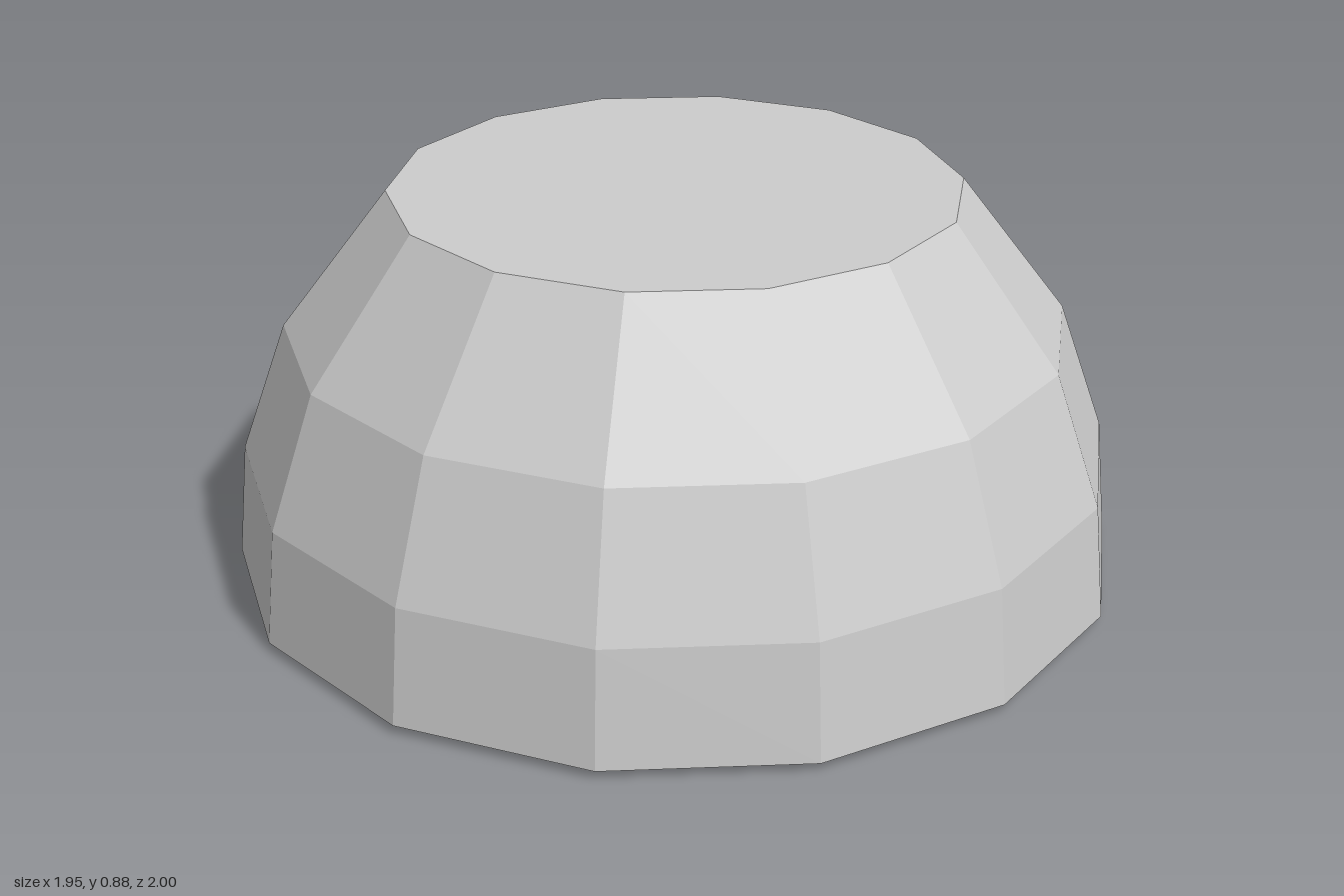
import * as THREE from 'three';

const SIDES = 14;

// Faceted dome, open below and capped flat on top
function dome(name, profile, material) {
  const points = profile.map(([r, y]) => new THREE.Vector2(r, y));
  const mesh = new THREE.Mesh(new THREE.LatheGeometry(points, SIDES), material);
  mesh.name = name;
  return mesh;
}

export function createModel() {
  const group = new THREE.Group();
  group.name = 'upturnedBowl';
  const grey = new THREE.MeshStandardMaterial({ color: 0xcccccc, flatShading: true, side: THREE.DoubleSide });
  grey.name = 'light grey';

  // Outer shell
  group.add(dome('outerShell', [[1, 0.02], [0.975, 0.28], [0.87, 0.575], [0.632, 0.885], [0, 0.885]], grey));

  // Smaller lining nested inside, dropping just below the outer rim
  group.add(dome('innerLining', [[0.76, 0], [0.741, 0.2], [0.68, 0.41], [0.57, 0.61], [0, 0.61]], grey));

  return group;
}
